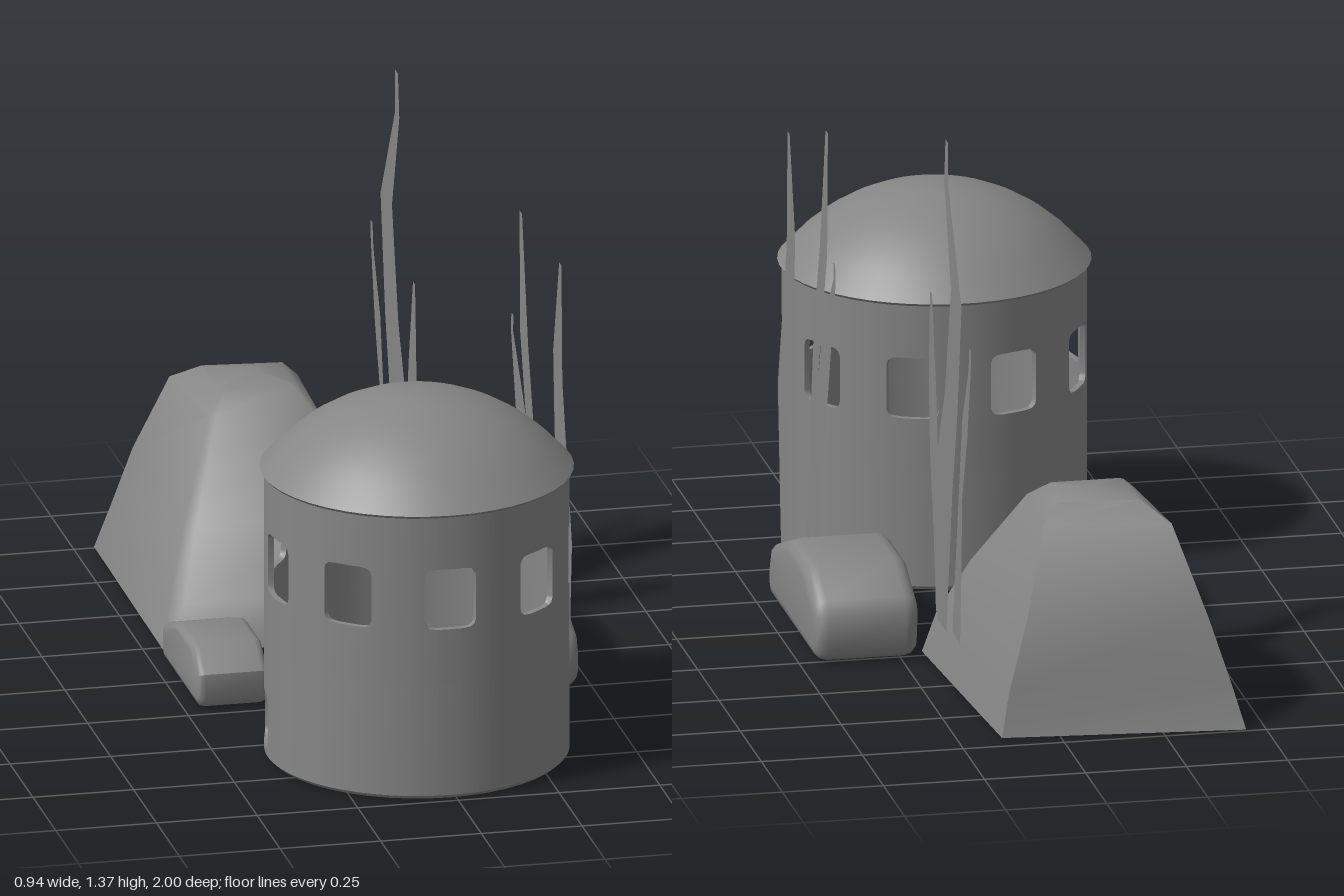
import * as THREE from 'three';
import { toCreasedNormals } from 'three/addons/utils/BufferGeometryUtils.js';

const grey = new THREE.MeshStandardMaterial({ color: 0x868686 });
const thin = new THREE.MeshStandardMaterial({ color: 0x868686, side: THREE.DoubleSide });

function mesh(name, geometry, material = grey) {
  const m = new THREE.Mesh(geometry, material);
  m.name = name;
  return m;
}

// Collects quads and triangles (corners counter-clockwise) into a creased geometry
function builder() {
  const pos = [];
  const tri = (...p) => p.forEach((v) => pos.push(...v));
  return {
    tri,
    quad: (a, b, c, d) => { tri(a, b, c); tri(a, c, d); },
    build(crease) {
      const g = new THREE.BufferGeometry();
      g.setAttribute('position', new THREE.Float32BufferAttribute(pos, 3));
      g.computeVertexNormals();
      return toCreasedNormals(g, crease);
    },
  };
}

// Thin round wall of nine panels; hasHole(panel) cuts a rounded opening at its middle
const OUTER = 0.37, INNER = 0.355;
const HALF_STEPS = [4, 5, 8, 9.5, 10, 10.5, 12, 15, 16, 20];
const STEPS = [...HALF_STEPS.map((s) => -s).reverse(), 0, ...HALF_STEPS];
function wallBand(y0, y1, yMid, half, turn, hasHole) {
  const g = builder();
  const pt = (r, deg, y) => {
    const t = THREE.MathUtils.degToRad(deg);
    return [r * Math.sin(t), y, r * Math.cos(t)];
  };
  const opening = (s) => {
    const a = Math.abs(s);
    return half - (a > 9.8 ? 0.02 : a > 9 ? 0.01 : a > 7 ? 0.002 : 0);
  };
  for (let p = 0; p < 9; p++) {
    for (let i = 0; i < STEPS.length - 1; i++) {
      const s = STEPS[i], e = STEPS[i + 1];
      const a = p * 40 + turn + s, b = p * 40 + turn + e;
      const skin = (la, lb, ha, hb) => {
        g.quad(pt(OUTER, a, la), pt(OUTER, b, lb), pt(OUTER, b, hb), pt(OUTER, a, ha));
        g.quad(pt(INNER, a, ha), pt(INNER, b, hb), pt(INNER, b, lb), pt(INNER, a, la));
      };
      if (hasHole(p) && Math.abs(s + e) < 20) {
        const ha = opening(s), hb = opening(e);
        skin(y0, y0, yMid - ha, yMid - hb);
        skin(yMid + ha, yMid + hb, y1, y1);
        // sill and head
        g.quad(pt(OUTER, a, yMid - ha), pt(OUTER, b, yMid - hb), pt(INNER, b, yMid - hb), pt(INNER, a, yMid - ha));
        g.quad(pt(INNER, a, yMid + ha), pt(INNER, b, yMid + hb), pt(OUTER, b, yMid + hb), pt(OUTER, a, yMid + ha));
        // jambs
        if (s === -10) g.quad(pt(OUTER, a, yMid - ha), pt(INNER, a, yMid - ha), pt(INNER, a, yMid + ha), pt(OUTER, a, yMid + ha));
        if (e === 10) g.quad(pt(OUTER, b, yMid + hb), pt(INNER, b, yMid + hb), pt(INNER, b, yMid - hb), pt(OUTER, b, yMid - hb));
      } else {
        skin(y0, y0, y1, y1);
      }
    }
  }
  return g.build(0.6);
}

const lathe = (pts) => toCreasedNormals(
  new THREE.LatheGeometry(pts.map(([r, y]) => new THREE.Vector2(r, y)), 45), 0.6);

// Domed roof: a shallow spherical cap with a flat underside
function roof() {
  const pts = [[0, 0.728], [0.375, 0.728], [0.381, 0.735]];
  const R = 0.475;
  for (let i = 1; i <= 7; i++) {
    const r = 0.38 * (1 - i / 7);
    pts.push([r, 0.922 - R + Math.sqrt(R * R - r * r)]);
  }
  return lathe(pts);
}

// Rock lofted through levels of four corners; the two front corners are slightly cut
function loftedRock(levels, peak) {
  const g = builder();
  const toward = (p, q, y) => [p[0] + (q[0] - p[0]) * 0.05, y, p[1] + (q[1] - p[1]) * 0.05];
  const rings = levels.map(([y, ...c]) => c.flatMap((p, i) => (i < 2
    ? [toward(p, c[(i + 3) % 4], y), toward(p, c[i + 1], y)]
    : [[p[0], y, p[1]]])));
  const base = rings[0], top = rings[rings.length - 1], n = base.length;
  for (let i = 0; i < n; i++) {
    const j = (i + 1) % n;
    for (let k = 0; k < rings.length - 1; k++) {
      g.quad(rings[k][i], rings[k][j], rings[k + 1][j], rings[k + 1][i]);
    }
    g.tri(top[i], top[j], peak);
    g.tri(base[j], base[i], [peak[0], base[0][1], peak[2]]);
  }
  return g.build(0.9);
}

// Side outline given as [z, y] points
const sideShape = (pts) => new THREE.Shape(pts.map(([z, y]) => new THREE.Vector2(-z, y)));

// Low rock: side outline extruded along x with rounded edges
function lowRock(outline, x0, x1, bevel) {
  const g = new THREE.ExtrudeGeometry(sideShape(outline), {
    depth: x1 - x0 - 2 * bevel, bevelThickness: bevel, bevelSize: bevel, bevelOffset: -bevel, bevelSegments: 3,
  });
  g.rotateY(Math.PI / 2).translate(x0 + bevel, 0, 0);
  return toCreasedNormals(g, 0.9);
}

// Flat weed blade from its two edges, both listed from tip to base
function blade(x, edgeA, edgeB) {
  const g = new THREE.ShapeGeometry(sideShape([...edgeA, ...edgeB.slice().reverse()]));
  return mesh('weedBlade', g.rotateY(Math.PI / 2).translate(x, 0, 0), thin);
}

export function createModel() {
  const model = new THREE.Group();

  // Round tower with nine windows, a small opening near the ground and an inward rim
  const tower = new THREE.Group();
  tower.name = 'tower';
  tower.position.set(-0.016, 0, 0.615);
  tower.add(
    mesh('lowerWall', wallBand(0.015, 0.3, 0.1, 0.07, 20, (p) => p === 6)),
    mesh('windowWall', wallBand(0.3, 0.732, 0.517, 0.077, 0, () => true)),
    mesh('bottomRim', lathe([[0.3, 0.02], [0.3, 0.01], [0.31, 0.005], [0.36, 0.005], [0.37, 0.015], [0.356, 0.022], [0.3, 0.02]])),
    mesh('domeRoof', roof()),
  );
  model.add(tower);

  // Rocks; levels run front left, front right, back right, back left
  model.add(mesh('largeRock', loftedRock([
    [0.008, [-0.455, -0.187], [0.193, -0.187], [0.143, -0.945], [-0.45, -1.0]],
    [0.12, [-0.43, -0.23], [0.165, -0.23], [0.12, -0.925], [-0.42, -0.96]],
    [0.28, [-0.37, -0.34], [0.1, -0.34], [0.07, -0.89], [-0.37, -0.93]],
    [0.49, [-0.27, -0.52], [-0.005, -0.52], [0.005, -0.78], [-0.3, -0.835]],
    [0.535, [-0.23, -0.59], [-0.045, -0.59], [-0.04, -0.75], [-0.235, -0.77]],
  ], [-0.14, 0.55, -0.69])));
  model.add(mesh('mediumRock', lowRock([
    [0.26, 0.012], [0.283, 0.04], [0.283, 0.1], [0.26, 0.15], [0.06, 0.223],
    [-0.14, 0.223], [-0.27, 0.165], [-0.297, 0.13], [-0.28, 0.03], [-0.26, 0.012],
  ], 0.208, 0.468, 0.035)));
  model.add(mesh('smallRock', lowRock([
    [0.205, 0.01], [0.22, 0.03], [0.22, 0.095], [0.14, 0.15],
    [-0.02, 0.15], [-0.165, 0.1], [-0.182, 0.08], [-0.18, 0.03], [-0.165, 0.01],
  ], -0.47, -0.292, 0.02)));

  // Weeds beside the tower
  const frontWeed = new THREE.Group();
  frontWeed.name = 'frontWeed';
  frontWeed.add(
    blade(0.39,
      [[0.41, 1.145], [0.42, 0.85], [0.525, 0.47], [0.495, 0.15], [0.48, 0.01]],
      [[0.385, 1.145], [0.32, 0.9], [0.335, 0.7], [0.42, 0.15], [0.395, 0.01]]),
    blade(0.34,
      [[0.2, 1.21], [0.265, 0.9], [0.335, 0.68], [0.39, 0.35], [0.43, 0.04]],
      [[0.172, 1.21], [0.18, 0.9], [0.28, 0.58], [0.34, 0.35], [0.385, 0.04]]),
    blade(0.345,
      [[0.085, 0.91], [0.08, 0.87], [0.21, 0.71], [0.285, 0.5], [0.35, 0.27], [0.32, 0.04]],
      [[0.062, 0.91], [0.055, 0.87], [0.145, 0.56], [0.21, 0.38], [0.25, 0.2], [0.285, 0.04]]),
  );

  // Weeds beside the large rock
  const backWeed = new THREE.Group();
  backWeed.name = 'backWeed';
  backWeed.add(
    blade(0.163,
      [[-0.19, 0.91], [-0.175, 0.69], [-0.19, 0.5], [-0.235, 0.3], [-0.26, 0.12]],
      [[-0.213, 0.91], [-0.26, 0.69], [-0.295, 0.47], [-0.33, 0.12]]),
    blade(0.174,
      [[-0.425, 1.37], [-0.41, 1.26], [-0.49, 1.01], [-0.42, 0.73], [-0.29, 0.47], [-0.33, 0.12]],
      [[-0.455, 1.37], [-0.455, 1.265], [-0.615, 1.0], [-0.565, 0.71], [-0.505, 0.49], [-0.435, 0.12]]),
    blade(0.163,
      [[-0.655, 0.91], [-0.645, 0.85], [-0.57, 0.7], [-0.52, 0.45], [-0.455, 0.13]],
      [[-0.675, 0.91], [-0.675, 0.87], [-0.63, 0.67], [-0.57, 0.5], [-0.56, 0.3], [-0.545, 0.12]]),
  );
  model.add(frontWeed, backWeed);
  return model;
}
